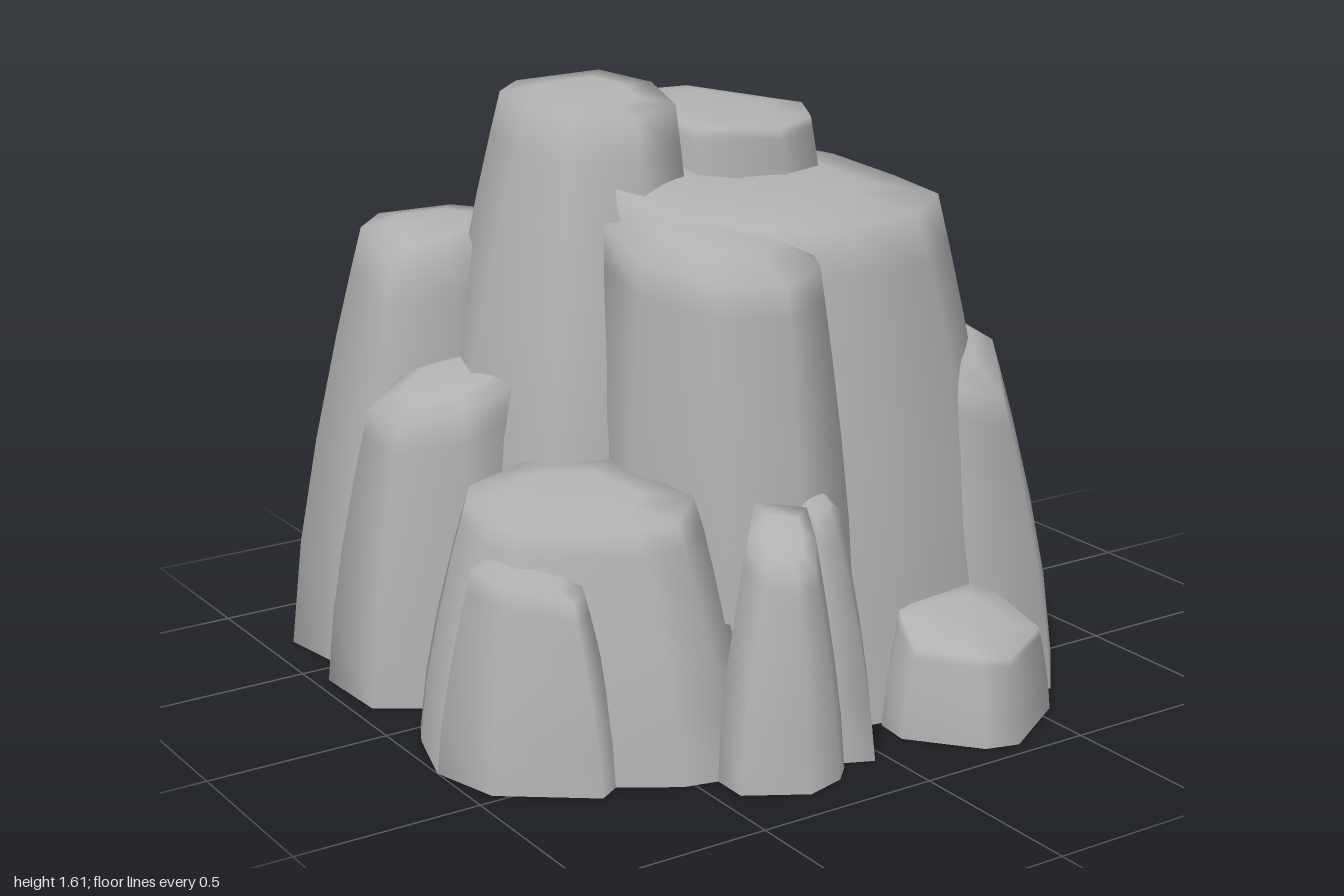
import * as THREE from 'three';

const stone = new THREE.MeshStandardMaterial({ color: 0xb0b0b0, side: THREE.DoubleSide });
stone.name = 'grey stone';

// One weathered column, open underneath. Each row, clockwise from above:
// [foot x, foot z, rim x, rim y, rim z]. Sides bulge, the cap is a low dome.
function column(name, rows, { foot = 0, dome = 0.02, bulge = 1.4 } = {}) {
  const n = rows.length;
  const mid = [2, 3, 4].map(k => rows.reduce((s, r) => s + r[k], 0) / n);
  const pos = [], index = [];
  const levels = [0, 0.25, 0.5, 0.75, 0.9, 1];
  for (const t of levels) {
    const k = Math.pow(t, bulge);
    for (const [bx, bz, tx, ty, tz] of rows) {
      pos.push(bx + (tx - bx) * k, foot + (ty - foot) * t, bz + (tz - bz) * k);
    }
  }
  // inner ring of the cap
  for (const [, , tx, ty, tz] of rows) {
    pos.push(tx + (mid[0] - tx) * 0.4, ty + (mid[1] - ty) * 0.4 + dome * 0.8, tz + (mid[2] - tz) * 0.4);
  }
  pos.push(mid[0], mid[1] + dome, mid[2]);
  const rings = levels.length + 1;
  for (let j = 0; j < rings; j++) {
    for (let i = 0; i < n; i++) {
      const a = j * n + i, b = j * n + (i + 1) % n;
      if (j === rings - 1) index.push(a, rings * n, b);
      else index.push(a, a + n, b + n, a, b + n, b);
    }
  }
  const geo = new THREE.BufferGeometry();
  geo.setAttribute('position', new THREE.Float32BufferAttribute(pos, 3));
  geo.setIndex(index);
  geo.computeVertexNormals();
  const mesh = new THREE.Mesh(geo, stone);
  mesh.name = name;
  return mesh;
}

export function createModel() {
  const rock = new THREE.Group();
  rock.name = 'rockFormation';
  const add = (...args) => rock.add(column(...args));

  // Central mass and its summits
  add('mainMass', [
    [-0.15, -0.65, -0.10, 1.42, -0.43], [0.20, -0.58, 0.20, 1.40, -0.44],
    [0.60, -0.40, 0.42, 1.36, -0.36], [0.70, -0.17, 0.53, 1.34, -0.15],
    [0.74, 0.12, 0.55, 1.32, 0.10], [0.72, 0.45, 0.53, 1.31, 0.32],
    [0.55, 0.62, 0.35, 1.30, 0.46], [0.20, 0.66, 0.12, 1.30, 0.47],
    [-0.10, 0.62, -0.06, 1.30, 0.40], [-0.35, 0.42, -0.25, 1.32, 0.20],
    [-0.50, 0.00, -0.35, 1.40, 0.00], [-0.50, -0.40, -0.35, 1.42, -0.30],
  ]);
  add('tallPeak', [
    [-0.35, -0.58, -0.33, 1.59, -0.43], [-0.10, -0.56, -0.10, 1.605, -0.38],
    [0.00, -0.20, -0.07, 1.60, -0.16], [-0.05, 0.10, -0.11, 1.57, 0.02],
    [-0.30, 0.28, -0.25, 1.55, 0.05], [-0.58, 0.14, -0.39, 1.55, -0.05],
    [-0.68, -0.20, -0.43, 1.57, -0.20], [-0.58, -0.50, -0.42, 1.58, -0.36],
  ], { foot: 0.45, dome: 0.01 });
  add('summitKnob', [
    [-0.02, -0.47, 0.00, 1.53, -0.42], [0.20, -0.46, 0.20, 1.53, -0.40],
    [0.43, -0.14, 0.41, 1.50, -0.14], [0.37, 0.02, 0.34, 1.49, 0.00],
    [0.20, 0.10, 0.19, 1.48, 0.07], [-0.06, 0.05, -0.05, 1.50, 0.02],
    [-0.10, -0.20, -0.07, 1.53, -0.20],
  ], { foot: 1.2, dome: 0.015 });
  add('frontButtress', [
    [-0.05, 0.00, -0.08, 1.32, 0.00], [0.14, 0.30, 0.10, 1.28, 0.25],
    [0.04, 0.62, 0.01, 1.22, 0.50], [-0.14, 0.66, -0.14, 1.20, 0.57],
    [-0.32, 0.58, -0.30, 1.21, 0.48], [-0.44, 0.30, -0.37, 1.23, 0.25],
    [-0.46, 0.00, -0.36, 1.29, 0.06],
  ], { foot: 0.35, dome: 0.05 });

  // Tall shoulders around the mass
  add('rearShoulder', [
    [-0.61, -0.955, -0.60, 1.20, -0.74], [-0.27, -0.94, -0.38, 1.20, -0.73],
    [-0.14, -0.66, -0.28, 1.20, -0.58], [-0.20, -0.35, -0.32, 1.20, -0.40],
    [-0.60, -0.25, -0.58, 1.16, -0.36], [-0.88, -0.38, -0.71, 1.12, -0.45],
    [-0.89, -0.52, -0.71, 1.16, -0.54], [-0.92, -0.73, -0.70, 1.19, -0.65],
  ]);
  add('sideShoulder', [
    [-0.70, -0.50, -0.68, 0.85, -0.42], [-0.45, -0.40, -0.48, 0.90, -0.36],
    [-0.45, 0.00, -0.50, 0.90, -0.04], [-0.74, -0.04, -0.70, 0.80, -0.08],
    [-0.95, -0.18, -0.83, 0.76, -0.20], [-0.96, -0.42, -0.84, 0.77, -0.36],
  ]);
  add('leftShoulder', [
    [0.55, 0.00, 0.50, 0.96, 0.06], [0.74, 0.06, 0.62, 0.95, 0.14],
    [0.91, 0.18, 0.70, 0.91, 0.24], [0.83, 0.50, 0.70, 0.89, 0.36],
    [0.64, 0.72, 0.57, 0.79, 0.57], [0.45, 0.64, 0.40, 0.85, 0.52],
    [0.38, 0.30, 0.36, 0.95, 0.30],
  ], { dome: 0.04 });

  // Low boulders at the foot
  add('frontSideBoulder', [
    [-0.60, -0.05, -0.58, 0.68, 0.02], [-0.38, 0.15, -0.42, 0.70, 0.18],
    [-0.26, 0.60, -0.36, 0.67, 0.48], [-0.40, 0.72, -0.46, 0.64, 0.56],
    [-0.53, 0.69, -0.56, 0.63, 0.53], [-0.73, 0.56, -0.70, 0.63, 0.44],
    [-0.90, 0.44, -0.79, 0.62, 0.34], [-1.00, 0.28, -0.81, 0.62, 0.24],
    [-0.94, 0.08, -0.80, 0.64, 0.10], [-0.90, 0.00, -0.76, 0.65, 0.04],
  ]);
  add('frontSideLedge', [
    [-0.85, 0.15, -0.80, 0.54, 0.20], [-0.60, 0.35, -0.66, 0.54, 0.38],
    [-0.64, 0.58, -0.70, 0.49, 0.51], [-0.73, 0.635, -0.75, 0.48, 0.54],
    [-0.95, 0.47, -0.87, 0.51, 0.42], [-1.00, 0.28, -0.89, 0.52, 0.28],
  ]);
  add('frontBoulder', [
    [-0.28, 0.50, -0.26, 0.67, 0.60], [-0.10, 0.60, -0.14, 0.65, 0.66],
    [-0.13, 0.82, -0.17, 0.60, 0.74], [-0.18, 0.87, -0.22, 0.55, 0.81],
    [-0.29, 0.90, -0.28, 0.54, 0.82], [-0.44, 0.81, -0.33, 0.56, 0.76],
    [-0.44, 0.70, -0.32, 0.60, 0.66],
  ], { dome: 0.01 });
  add('frontSpur', [
    [-0.08, 0.45, -0.08, 0.70, 0.54], [0.03, 0.60, -0.04, 0.65, 0.62],
    [0.055, 0.69, -0.03, 0.62, 0.65], [-0.04, 0.83, -0.08, 0.61, 0.70],
    [-0.13, 0.79, -0.13, 0.62, 0.69], [-0.18, 0.60, -0.15, 0.67, 0.60],
  ], { dome: 0.01 });
  add('frontStump', [
    [0.18, 0.58, 0.20, 0.31, 0.60], [0.48, 0.58, 0.46, 0.31, 0.60],
    [0.55, 0.64, 0.50, 0.28, 0.66], [0.55, 0.82, 0.52, 0.23, 0.80],
    [0.33, 0.955, 0.33, 0.22, 0.91], [0.24, 0.93, 0.25, 0.23, 0.88],
    [0.10, 0.76, 0.14, 0.24, 0.76], [0.11, 0.66, 0.17, 0.29, 0.66],
  ], { dome: 0.015 });
  add('sideStump', [
    [0.71, -0.21, 0.73, 0.30, -0.17], [0.83, -0.235, 0.82, 0.28, -0.20],
    [1.00, -0.04, 0.96, 0.22, -0.04], [1.00, 0.04, 0.96, 0.22, 0.04],
    [0.88, 0.175, 0.86, 0.29, 0.13], [0.70, 0.18, 0.72, 0.32, 0.14],
    [0.66, 0.00, 0.68, 0.32, 0.00],
  ], { dome: 0.01 });
  add('rearBoulder', [
    [-0.06, -0.81, 0.00, 0.63, -0.74], [0.14, -0.80, 0.15, 0.63, -0.76],
    [0.38, -0.93, 0.38, 0.62, -0.77], [0.56, -0.86, 0.50, 0.63, -0.72],
    [0.68, -0.56, 0.58, 0.65, -0.55], [0.60, -0.38, 0.55, 0.68, -0.40],
    [0.35, -0.36, 0.35, 0.68, -0.40], [0.00, -0.50, 0.00, 0.66, -0.50],
    [-0.16, -0.66, -0.08, 0.64, -0.64],
  ]);
  add('rearLedge', [
    [0.12, -0.91, 0.14, 0.50, -0.85], [0.40, -0.96, 0.38, 0.50, -0.875],
    [0.56, -0.88, 0.53, 0.52, -0.81], [0.57, -0.65, 0.53, 0.54, -0.65],
    [0.16, -0.65, 0.17, 0.54, -0.65], [0.11, -0.80, 0.13, 0.53, -0.79],
  ], { dome: 0.01 });

  return rock;
}
